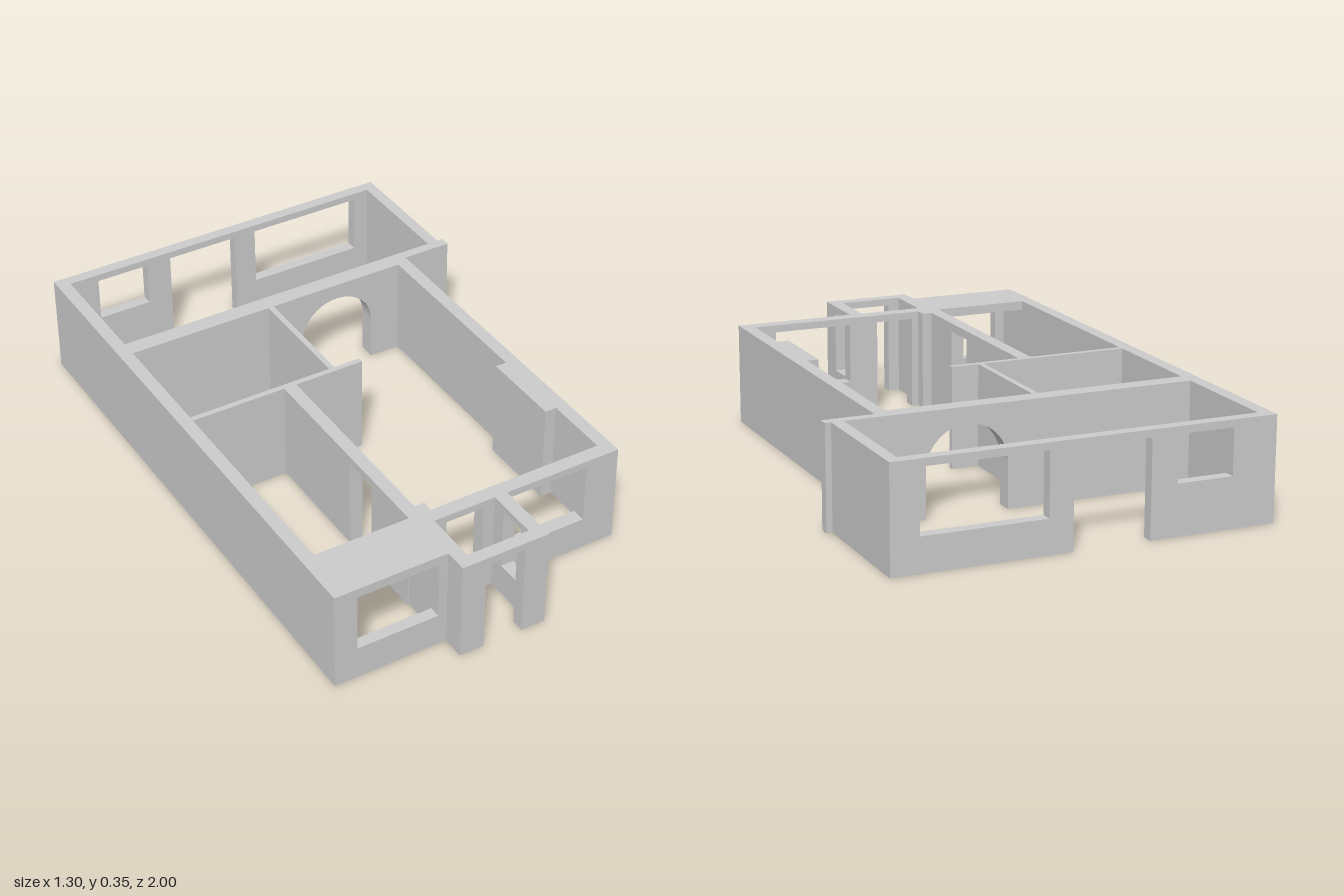
import * as THREE from 'three';

const H = 0.35;
const material = new THREE.MeshStandardMaterial({ color: 0xcccccc });

// Elevation of a wall from a to b; openings are [start, end, bottom, top, arched]
function elevation(a, b, openings) {
  const shape = new THREE.Shape();
  shape.moveTo(a, 0);
  for (const [s, e, bottom, top, arched] of openings) {
    if (bottom > 0) {
      const hole = new THREE.Path();
      hole.moveTo(s, bottom).lineTo(s, top).lineTo(e, top).lineTo(e, bottom).closePath();
      shape.holes.push(hole);
    } else {
      shape.lineTo(s, 0);
      if (arched) {
        const r = (e - s) / 2;
        shape.lineTo(s, top - r);
        shape.absarc(s + r, top - r, r, Math.PI, 0, true);
      } else {
        shape.lineTo(s, top).lineTo(e, top);
      }
      shape.lineTo(e, 0);
    }
  }
  shape.lineTo(b, 0).lineTo(b, H).lineTo(a, H).closePath();
  return shape;
}

function extrude(shape, depth) {
  return new THREE.ExtrudeGeometry(shape, { depth, bevelEnabled: false, curveSegments: 20 });
}

export function createModel() {
  const house = new THREE.Group();
  house.name = 'housePlan';

  const add = (name, geometry) => {
    const mesh = new THREE.Mesh(geometry, material);
    mesh.name = name;
    house.add(mesh);
  };
  // Wall running along x, between z0 and z1
  const wallX = (name, x0, x1, z0, z1, openings = []) =>
    add(name, extrude(elevation(x0, x1, openings), z1 - z0).translate(0, 0, z0));
  // Wall running along z, between x0 and x1 (drawn along -z, then turned)
  const wallZ = (name, x0, x1, z0, z1, openings = []) => {
    const flipped = openings.map(([s, e, ...rest]) => [-e, -s, ...rest]);
    add(name, extrude(elevation(-z1, -z0, flipped), x1 - x0).rotateY(Math.PI / 2).translate(x0, 0, 0));
  };
  const box = (name, x0, x1, y0, y1, z0, z1) =>
    add(name, new THREE.BoxGeometry(x1 - x0, y1 - y0, z1 - z0)
      .translate((x0 + x1) / 2, (y0 + y1) / 2, (z0 + z1) / 2));

  // Outer walls
  wallZ('leftOuterWall', -0.65, -0.605, -0.96, 0.88);
  wallX('backWall', -0.65, 0.63, -1, -0.96, [
    [-0.5, -0.31, 0.17, 0.325],
    [-0.22, 0.04, 0, 0.325],
    [0.12, 0.535, 0.115, 0.325],
  ]);
  wallZ('backRoomSideWall', 0.59, 0.63, -0.96, -0.54);
  wallZ('rightOuterWall', 0.43, 0.475, -0.505, 0.72);
  wallX('frontWall', -0.21, 0.475, 0.72, 0.77, [
    [-0.165, -0.03, 0, 0.325],
    [0.075, 0.355, 0.115, 0.325],
  ]);

  // Cross wall with the archway, and its stub on the right
  wallX('archWall', -0.605, 0.43, -0.54, -0.48, [[0.04, 0.32, 0, 0.295, true]]);
  wallX('crossWallStub', 0.43, 0.65, -0.54, -0.505);

  // Inner partitions
  wallX('roomPartition', -0.605, 0.025, -0.07, -0.05);
  wallZ('bedroomPartition', -0.09, -0.07, -0.48, -0.07);
  wallZ('hallPartition', -0.27, -0.225, -0.05, 0.72, [[0.37, 0.5, 0, 0.32]]);
  box('hallPost', -0.225, -0.19, 0, H, 0.68, 0.72);
  box('chimneyBreast', 0.39, 0.43, 0, H, 0.2, 0.49);

  // Front bay: window wall, side wall and flat ceiling
  wallX('bayWindowWall', -0.65, -0.21, 0.88, 0.92, [[-0.57, -0.285, 0.115, 0.318]]);
  wallZ('baySideWall', -0.265, -0.21, 0.72, 0.88);
  box('bayCeiling', -0.605, -0.265, 0.318, H, 0.72, 0.88);

  // Porch
  wallX('porchFrontWall', -0.255, 0.055, 0.955, 1, [[-0.17, -0.03, 0, 0.325]]);
  box('porchCorner', -0.255, -0.21, 0, H, 0.92, 0.955);
  wallZ('porchSideWall', 0.01, 0.055, 0.77, 0.955, [[0.82, 0.915, 0.11, 0.325]]);

  return house;
}
